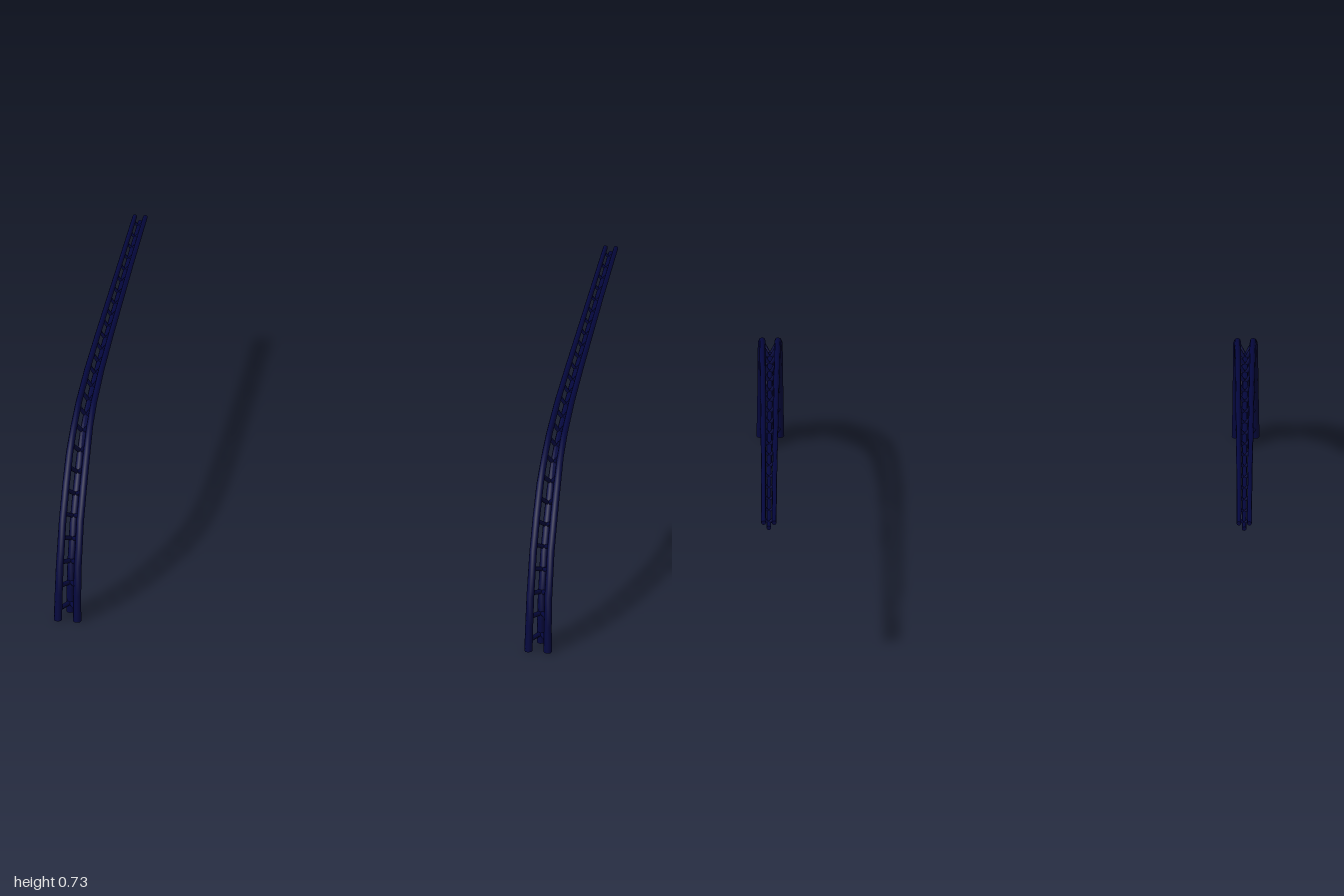
import * as THREE from 'three';
import { toCreasedNormals } from 'three/addons/utils/BufferGeometryUtils.js';

const SIDES = 8;
const RUNGS = 26;
const TRUSS_X = 0.914;

// Spine of one truss: z, y, depth of the truss there
const SPINE = [
  [0.944, 0, 0.11], [0.936, 0.1, 0.104], [0.917, 0.205, 0.1], [0.848, 0.36, 0.096],
  [0.767, 0.457, 0.095], [0.672, 0.552, 0.092], [0.575, 0.617, 0.081], [0.46, 0.656, 0.075],
  [0.25, 0.687, 0.068], [-0.02, 0.7, 0.06], [-0.6, 0.712, 0.046], [-1, 0.714, 0.041],
];

const material = new THREE.MeshStandardMaterial({ color: 0x04073e });

// Frames along the spine, with the outward normal in the z-y plane
const frames = SPINE.map(([z, y, depth], i) => {
  const a = SPINE[Math.max(i - 1, 0)];
  const b = SPINE[Math.min(i + 1, SPINE.length - 1)];
  const normal = new THREE.Vector3(0, a[0] - b[0], b[1] - a[1]).normalize();
  if (i === 0) normal.set(0, 0, 1);
  if (i === SPINE.length - 1) normal.set(0, 1, 0);
  return { centre: new THREE.Vector3(0, y, z), normal, depth, radius: 0.005 + 0.1 * depth };
});

// Two chords on the outside of the bend, one on the inside
const CHORDS = [['outerChordLeft', 1, 1], ['outerChordRight', -1, 1], ['innerChord', 0, -1]];

function chordPoint(f, side, out) {
  const halfWidth = (0.03 + 0.7 * f.depth) / 2 - f.radius;
  return f.centre.clone()
    .addScaledVector(f.normal, out * (f.depth / 2 - f.radius))
    .add(new THREE.Vector3(side * halfWidth, 0, 0));
}

// Tapered, capped tube that follows the frames
function chordGeometry(side, out) {
  const rings = frames.map((f) => ({ f, r: f.radius }));
  rings.unshift({ f: frames[0], r: 0 });
  rings.push({ f: frames[frames.length - 1], r: 0 });
  const positions = [];
  const index = [];
  rings.forEach(({ f, r }, i) => {
    const p = chordPoint(f, side, out);
    for (let j = 0; j < SIDES; j++) {
      const angle = (j / SIDES) * Math.PI * 2;
      const v = p.clone().addScaledVector(f.normal, r * Math.sin(angle));
      positions.push(v.x + r * Math.cos(angle), v.y, v.z);
      if (i === rings.length - 1) continue;
      const a = i * SIDES + j;
      const b = i * SIDES + (j + 1) % SIDES;
      if (i < rings.length - 2) index.push(a, a + SIDES, b + SIDES);
      if (i > 0) index.push(a, b + SIDES, b);
    }
  });
  const geometry = new THREE.BufferGeometry();
  geometry.setAttribute('position', new THREE.Float32BufferAttribute(positions, 3));
  geometry.setIndex(index);
  return toCreasedNormals(geometry, 0.9);
}

// Frame at a distance along the spine
const lengths = [0];
for (let i = 1; i < frames.length; i++) {
  lengths.push(lengths[i - 1] + frames[i].centre.distanceTo(frames[i - 1].centre));
}
function frameAt(distance) {
  let i = 0;
  while (i < frames.length - 2 && lengths[i + 1] < distance) i++;
  const t = (distance - lengths[i]) / (lengths[i + 1] - lengths[i]);
  const a = frames[i];
  const b = frames[i + 1];
  return {
    centre: a.centre.clone().lerp(b.centre, t),
    normal: a.normal.clone().lerp(b.normal, t).normalize(),
    depth: THREE.MathUtils.lerp(a.depth, b.depth, t),
    radius: THREE.MathUtils.lerp(a.radius, b.radius, t),
  };
}

function rung(from, to, radius) {
  const direction = to.clone().sub(from);
  const mesh = new THREE.Mesh(
    new THREE.CylinderGeometry(radius, radius, direction.length(), 6, 1, true), material);
  mesh.position.copy(from).lerp(to, 0.5);
  mesh.quaternion.setFromUnitVectors(new THREE.Vector3(0, 1, 0), direction.normalize());
  mesh.name = 'rung';
  return mesh;
}

function createTruss(name) {
  const truss = new THREE.Group();
  truss.name = name;
  for (const [chordName, side, out] of CHORDS) {
    const chord = new THREE.Mesh(chordGeometry(side, out), material);
    chord.name = chordName;
    truss.add(chord);
  }
  // V-shaped pairs of rungs from the inner chord to each outer chord
  const rungs = new THREE.Group();
  rungs.name = 'rungs';
  const total = lengths[lengths.length - 1];
  for (let i = 0; i < RUNGS; i++) {
    const f = frameAt(0.04 + (i / (RUNGS - 1)) * (total - 0.08));
    const inner = chordPoint(f, 0, -1);
    for (const side of [1, -1]) rungs.add(rung(inner, chordPoint(f, side, 1), f.radius * 0.6));
  }
  truss.add(rungs);
  return truss;
}

export function createModel() {
  const model = new THREE.Group();
  model.name = 'curvedTrussPair';
  for (const s of [1, -1]) {
    const truss = createTruss(s > 0 ? 'leftTruss' : 'rightTruss');
    truss.position.x = s * TRUSS_X;
    model.add(truss);
  }
  return model;
}
